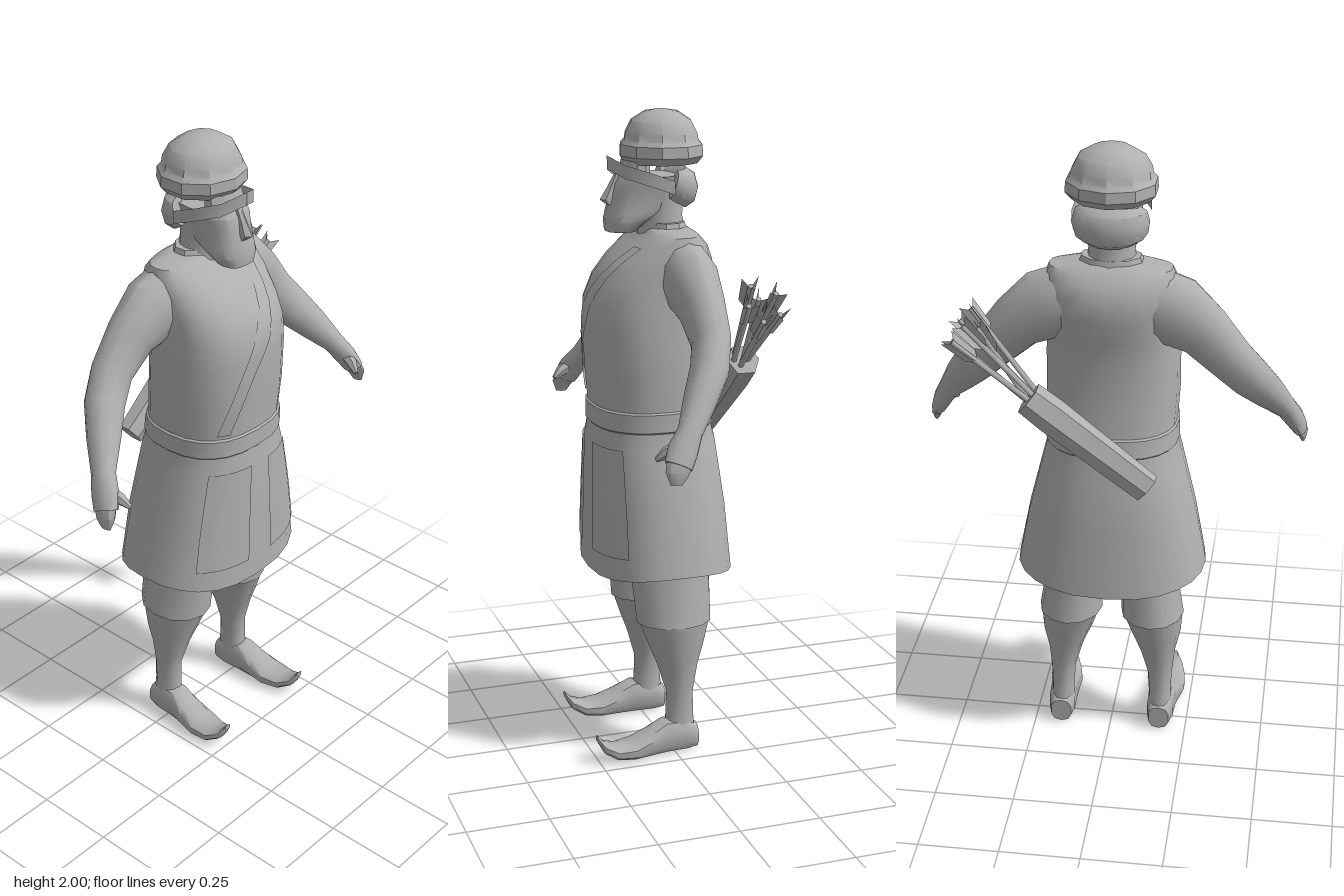
import * as THREE from 'three';
import { toCreasedNormals } from 'three/addons/utils/BufferGeometryUtils.js';

const V = (x, y, z) => new THREE.Vector3(x, y, z);
const grey = new THREE.MeshStandardMaterial({ color: 0xb0b0b0, side: THREE.DoubleSide });
grey.name = 'plain grey';

// Surface through rows of points; closed rows wrap around and may be capped
function skin(rows, { wrap = true, caps = true, crease = 0.75 } = {}) {
  const n = rows[0].length, pos = [], idx = [];
  rows.flat().forEach(p => pos.push(p.x, p.y, p.z));
  for (let i = 0; i < rows.length - 1; i++) {
    for (let j = 0; j < (wrap ? n : n - 1); j++) {
      const a = i * n + j, b = i * n + (j + 1) % n;
      idx.push(a, b, b + n, a, b + n, a + n);
    }
  }
  if (wrap && caps) {
    [0, rows.length - 1].forEach(i => {
      const c = pos.length / 3, m = V(0, 0, 0);
      rows[i].forEach(p => m.addScaledVector(p, 1 / n));
      pos.push(m.x, m.y, m.z);
      for (let j = 0; j < n; j++) {
        const a = i * n + j, b = i * n + (j + 1) % n;
        idx.push(...(i ? [c, a, b] : [c, b, a]));
      }
    });
  }
  const g = new THREE.BufferGeometry();
  g.setAttribute('position', new THREE.Float32BufferAttribute(pos, 3));
  g.setIndex(idx);
  return toCreasedNormals(g, crease);
}

// Rings [x, y, z, half width, half depth] lofted along their own path
function loft(rings, { n = 10, hint = V(0, 0, 1), dir = null, side = 1, e = 2, crease } = {}) {
  const c = rings.map(r => V(r[0] * side, r[1], r[2]));
  const pw = (v) => Math.sign(v) * Math.abs(v) ** (2 / e);
  return skin(rings.map((r, i) => {
    const t = dir ? dir.clone()
      : c[Math.min(i + 1, c.length - 1)].clone().sub(c[Math.max(i - 1, 0)]).normalize();
    const u = t.clone().cross(hint).normalize(), v = u.clone().cross(t);
    return Array.from({ length: n }, (_, j) => {
      const a = j / n * Math.PI * 2;
      return c[i].clone().addScaledVector(u, r[3] * pw(Math.sin(a))).addScaledVector(v, r[4] * pw(Math.cos(a)));
    });
  }), { crease });
}

// Tunic profile: height, half width, front z, back z
const BODY = [
  [0.585, 0.3, 0.225, -0.212], [0.8, 0.265, 0.222, -0.195], [1.0, 0.215, 0.218, -0.17],
  [1.06, 0.2, 0.207, -0.155], [1.12, 0.2, 0.208, -0.147], [1.22, 0.206, 0.216, -0.138],
  [1.35, 0.205, 0.221, -0.133], [1.43, 0.2, 0.22, -0.143], [1.5, 0.198, 0.19, -0.157],
  [1.56, 0.198, 0.14, -0.155], [1.605, 0.196, 0.085, -0.135], [1.635, 0.185, 0.05, -0.105],
  [1.65, 0.1, 0.04, -0.085],
];
function bodyPoint(y, a, grow = 0) {
  let i = 0;
  while (i < BODY.length - 2 && y > BODY[i + 1][0]) i++;
  const k = (y - BODY[i][0]) / (BODY[i + 1][0] - BODY[i][0]);
  const [, rx, zf, zb] = BODY[i].map((v, q) => THREE.MathUtils.lerp(v, BODY[i + 1][q], k));
  const pw = (v) => Math.sign(v) * Math.abs(v) ** 0.82;
  const lift = 0.035 * Math.sin(a) ** 2 * Math.max(0, 1 - (y - 0.585) / 0.2);
  return V((rx + grow) * pw(Math.sin(a)), y + lift, (zf + zb) / 2 + ((zf - zb) / 2 + grow) * pw(Math.cos(a)));
}
// Thin patch lying on the tunic, with angle limits that may vary with height
function patch(y0, y1, from, to, rows = 6, cols = 5, grow = 0.004) {
  return skin(Array.from({ length: rows + 1 }, (_, i) => {
    const y = y0 + (y1 - y0) * i / rows;
    return Array.from({ length: cols + 1 }, (_, j) =>
      bodyPoint(y, from(y) + (to(y) - from(y)) * j / cols, grow));
  }), { wrap: false });
}

export function createModel() {
  const model = new THREE.Group();
  const add = (name, geo, parent = model) => {
    const m = new THREE.Mesh(geo, grey);
    m.name = name;
    parent.add(m);
    return m;
  };
  const ring = (y, grow) => Array.from({ length: 24 }, (_, j) => bodyPoint(y, j / 24 * Math.PI * 2, grow));

  // Tunic with belt, skirt panels and chest strap
  add('tunic', skin(BODY.map(r => ring(r[0], 0))));
  add('belt', skin([[1.05, 0], [1.055, 0.006], [1.11, 0.006], [1.115, 0]].map(([y, g]) => ring(y, g)), { caps: false }));
  for (const s of [-1, 1]) {
    const a = s < 0 ? -0.85 : 0.12, b = s < 0 ? -0.12 : 0.85;
    add(s < 0 ? 'rightSkirtPanel' : 'leftSkirtPanel', patch(0.66, 1.0, () => a, () => b));
  }
  const strap = y => (y - 1.42) * 2.1;
  add('chestStrap', patch(1.13, 1.6, y => strap(y) - 0.12, y => strap(y) + 0.12, 10, 2, 0.005));

  // Neck and collar
  add('neck', loft([[0, 1.58, -0.02, 0.085, 0.08], [0, 1.68, -0.01, 0.07, 0.07], [0, 1.78, -0.01, 0.075, 0.075]], { n: 12 }));
  add('collar', loft([[0, 1.62, -0.022, 0.11, 0.075], [0, 1.665, -0.022, 0.092, 0.062]], { n: 10 }));

  // Face with beard, nose and brow band
  add('face', loft([
    [0, 1.64, 0.115, 0.055, 0.045], [0, 1.67, 0.1, 0.073, 0.062], [0, 1.7, 0.07, 0.074, 0.088],
    [0, 1.75, 0.04, 0.075, 0.105], [0, 1.785, 0.025, 0.085, 0.11], [0, 1.805, 0.015, 0.088, 0.105],
  ], { dir: V(0, 1, 0), n: 12, e: 2.6 }));
  add('nose', loft([
    [0, 1.72, 0.15, 0.018, 0.008], [0, 1.735, 0.15, 0.02, 0.028],
    [0, 1.77, 0.138, 0.013, 0.018], [0, 1.81, 0.125, 0.011, 0.008],
  ], { dir: V(0, 1, 0), n: 6 }));
  const brow = [[0.118, 1.775, -0.02], [0.11, 1.8, 0.05], [0.07, 1.822, 0.12], [0, 1.845, 0.155]];
  const arc = [...brow.map(([x, y, z]) => [-x, y, z]), ...brow.slice(0, 3).reverse()];
  add('browBand', skin([-0.02, 0.02].map(h => arc.map(([x, y, z]) => V(x, y + h, z))), { wrap: false }));
  add('forehead', loft([[0, 1.79, 0.075, 0.075, 0.05], [0, 1.85, 0.065, 0.07, 0.04]], { dir: V(0, 1, 0), n: 10 }));

  // Hair rolled around the back of the head
  const hair = [];
  for (let i = 0; i <= 10; i++) {
    const a = -1.75 + 3.5 * i / 10, f = Math.cos(a * 0.8);
    hair.push([Math.sin(a) * 0.087, 1.785 - 0.02 * f, -0.035 - Math.cos(a) * 0.05, 0.024 + 0.016 * f, 0.04 + 0.022 * f]);
  }
  add('hair', loft(hair, { hint: V(0, 1, 0), n: 8 }));

  // Domed cap with a thick rim
  const capProfile = [[0, 1.838], [0.12, 1.84], [0.139, 1.862], [0.137, 1.895], [0.124, 1.908],
    [0.12, 1.93], [0.1, 1.965], [0.055, 1.992], [0, 2.0]].map(([x, y]) => new THREE.Vector2(x, y));
  const cap = add('cap', toCreasedNormals(new THREE.LatheGeometry(capProfile, 10), 0.6));
  cap.position.z = -0.015;
  cap.scale.z = 0.93;

  // Limbs, mirrored
  for (const side of [1, -1]) {
    const limb = new THREE.Group();
    limb.name = side > 0 ? 'leftLimbs' : 'rightLimbs';
    model.add(limb);
    add('arm', loft([
      [0.13, 1.52, -0.035, 0.115, 0.09], [0.2, 1.5, -0.04, 0.112, 0.085], [0.28, 1.445, -0.045, 0.088, 0.068],
      [0.36, 1.36, -0.045, 0.073, 0.058], [0.42, 1.29, -0.018, 0.066, 0.058], [0.475, 1.22, 0.03, 0.053, 0.05],
      [0.53, 1.145, 0.08, 0.034, 0.037], [0.555, 1.1, 0.11, 0.031, 0.045], [0.573, 1.06, 0.13, 0.025, 0.042],
    ], { side, n: 12 }), limb);
    add('fingers', loft([
      [0.565, 1.075, 0.12, 0.025, 0.04], [0.583, 1.04, 0.138, 0.018, 0.034], [0.586, 1.01, 0.14, 0.007, 0.018],
    ], { side, n: 8 }), limb);
    add('thumb', loft([
      [0.548, 1.11, 0.115, 0.022, 0.022], [0.535, 1.09, 0.155, 0.018, 0.017], [0.525, 1.07, 0.18, 0.007, 0.008],
    ], { side, n: 6, hint: V(1, 0, 0) }), limb);
    add('breeches', loft([
      [0.118, 0.66, -0.005, 0.086, 0.13], [0.12, 0.58, -0.005, 0.09, 0.128], [0.133, 0.43, -0.012, 0.102, 0.12],
    ], { side, dir: V(0, -1, 0), n: 12 }), limb);
    add('calf', loft([
      [0.133, 0.44, -0.012, 0.099, 0.116], [0.145, 0.36, -0.015, 0.081, 0.09], [0.152, 0.29, -0.018, 0.058, 0.066],
      [0.16, 0.2, -0.022, 0.04, 0.044], [0.161, 0.12, -0.022, 0.036, 0.046], [0.163, 0.05, -0.022, 0.04, 0.052],
    ], { side, dir: V(0, -1, 0), n: 12 }), limb);
    add('shoe', loft([
      [0.163, 0.045, -0.076, 0.034, 0.04], [0.164, 0.055, -0.04, 0.044, 0.054], [0.167, 0.056, 0.03, 0.045, 0.055],
      [0.172, 0.042, 0.085, 0.05, 0.04], [0.176, 0.03, 0.14, 0.055, 0.028], [0.18, 0.03, 0.195, 0.047, 0.022],
      [0.182, 0.05, 0.235, 0.032, 0.018], [0.182, 0.082, 0.257, 0.012, 0.01],
    ], { side, dir: V(0, 0, 1), hint: V(0, 1, 0), n: 10, e: 2.6 }), limb);
  }

  // Quiver slung across the back, with a bundle of arrows
  add('quiver', loft([
    [-0.132, 0.985, -0.2, 0.048, 0.034], [0.16, 1.215, -0.2, 0.054, 0.05], [0.225, 1.266, -0.2, 0.05, 0.05],
  ], { n: 6, e: 2.3, crease: 0.3 }));
  const tips = [[0.4, 1.525, -0.15], [0.44, 1.475, -0.13], [0.455, 1.43, -0.17], [0.41, 1.5, -0.225], [0.445, 1.445, -0.225], [0.375, 1.48, -0.185]];
  tips.forEach(([x, y, z], i) => {
    const base = V(0.205 + 0.012 * (i % 3 - 1), 1.25 - 0.012 * (i % 3 - 1), -0.2 + (z + 0.2) * 0.4);
    const tip = V(x, y, z), len = tip.distanceTo(base);
    const arrow = new THREE.Group();
    arrow.name = 'arrow';
    arrow.position.copy(base);
    arrow.quaternion.setFromUnitVectors(V(0, 1, 0), tip.clone().sub(base).normalize());
    model.add(arrow);
    add('shaft', new THREE.CylinderGeometry(0.009, 0.009, len, 5), arrow).position.y = len / 2;
    // Three swept feathers per arrow
    const feather = new THREE.Shape([[0, -0.1], [0.026, -0.07], [0.03, 0.02], [0, -0.01]].map(p => new THREE.Vector2(...p)));
    for (let k = 0; k < 3; k++) {
      const f = add('feather', new THREE.ShapeGeometry(feather), arrow);
      f.position.y = len;
      f.rotation.y = k * Math.PI * 2 / 3 + i;
    }
  });
  return model;
}
